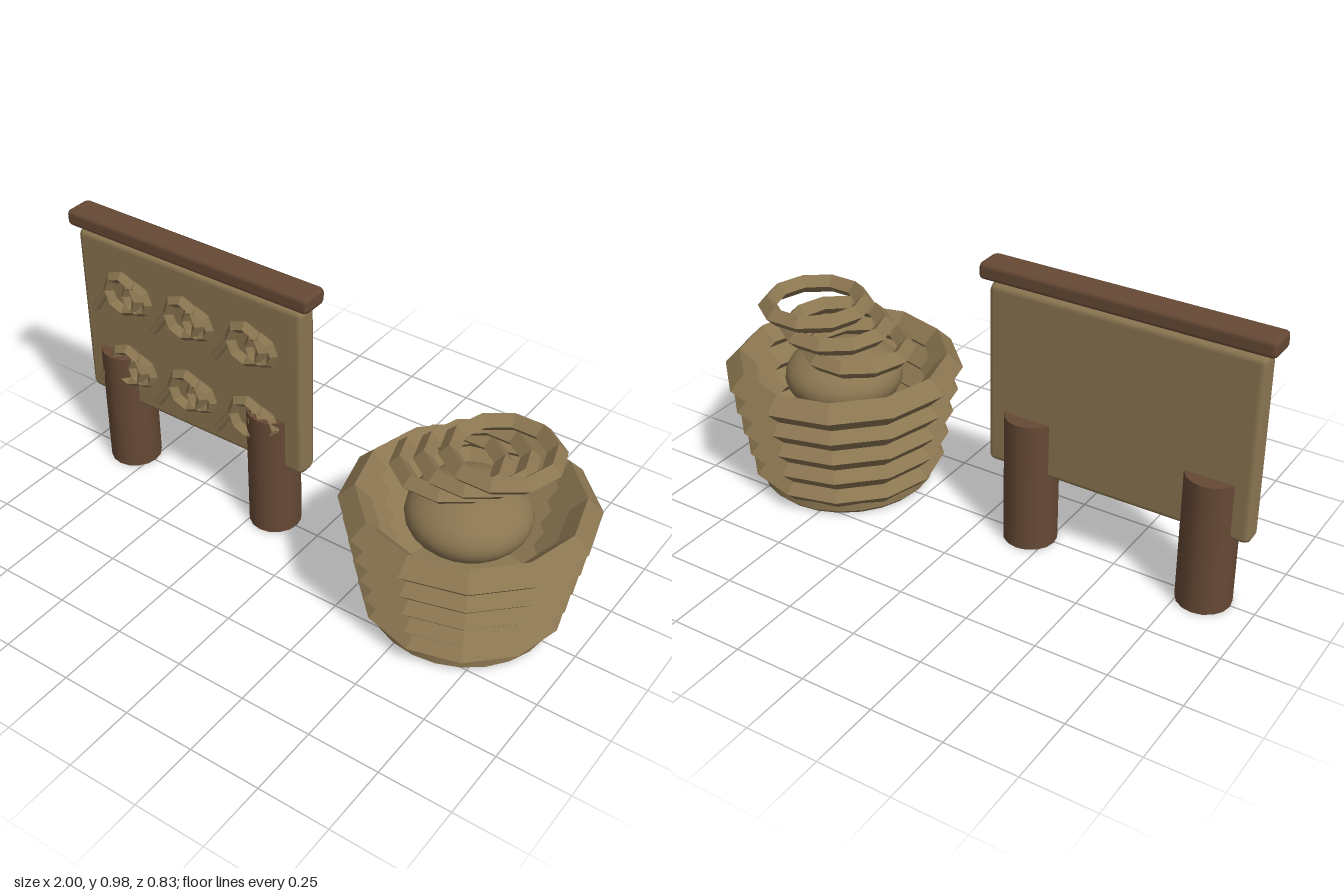
import * as THREE from 'three';
import { RoundedBoxGeometry } from 'three/addons/geometries/RoundedBoxGeometry.js';

export function createModel() {
  const model = new THREE.Group();
  const tan = new THREE.MeshStandardMaterial({ color: 0x8b7651 });
  tan.name = 'straw tan';
  const brown = new THREE.MeshStandardMaterial({ color: 0x664935 });
  brown.name = 'wood brown';

  const add = (parent, name, geometry, material, x, y, z) => {
    const mesh = new THREE.Mesh(geometry, material);
    mesh.name = name;
    mesh.position.set(x, y, z);
    parent.add(mesh);
    return mesh;
  };

  // Faceted ring with a diamond section
  const ring = (radius, tube, sides) => {
    const g = new THREE.TorusGeometry(radius, tube, 4, sides).toNonIndexed();
    g.computeVertexNormals();
    return g;
  };
  const flatRing = (radius, tube, sides) => ring(radius, tube, sides).rotateX(Math.PI / 2);

  // Display board with rail and posts
  const stand = new THREE.Group();
  stand.name = 'displayBoard';
  model.add(stand);
  add(stand, 'panel', new RoundedBoxGeometry(0.935, 0.645, 0.08, 1, 0.022), tan, -0.503, 0.592, 0);
  add(stand, 'topRail', new RoundedBoxGeometry(0.995, 0.058, 0.106, 1, 0.016), brown, -0.503, 0.953, 0);
  for (const x of [-0.826, -0.183]) {
    add(stand, 'post', new THREE.CylinderGeometry(0.092, 0.092, 0.47, 16), brown, x, 0.235, -0.004);
  }

  // Two rows of rope knots: big loop, small loop and loose end
  const bigLoop = ring(0.066, 0.022, 8);
  const smallLoop = ring(0.05, 0.018, 8);
  const looseEnd = new THREE.CylinderGeometry(0.015, 0.015, 0.13, 6);
  for (const y of [0.738, 0.444]) {
    for (let i = 0; i < 3; i++) {
      const knot = new THREE.Group();
      knot.name = 'ropeKnot';
      knot.position.set(-0.764 + i * 0.262, y, 0.059);
      stand.add(knot);
      add(knot, 'bigLoop', bigLoop, tan, 0, 0, 0);
      add(knot, 'smallLoop', smallLoop, tan, 0.06, 0, 0);
      add(knot, 'looseEnd', looseEnd, tan, -0.1, -0.05, 0).rotation.z = -0.6;
    }
  }

  // Coiled basket, widening upwards
  const basket = new THREE.Group();
  basket.name = 'basket';
  basket.position.x = 0.583;
  model.add(basket);
  add(basket, 'base', new THREE.CylinderGeometry(0.305, 0.305, 0.03, 24), tan, 0, 0.03, 0);
  add(basket, 'baseEdge', new THREE.CylinderGeometry(0.305, 0.29, 0.015, 24), tan, 0, 0.0075, 0);
  for (let i = 0; i < 5; i++) {
    add(basket, 'basketCoil', flatRing(0.291 + i * 0.0176, 0.053, 12), tan, 0, 0.073 + i * 0.088, 0);
  }

  // Rounded bundle inside, with loose rope rings stacked on it
  const bundle = add(basket, 'bundle', new THREE.SphereGeometry(1, 24, 16), tan, 0, 0.395, 0);
  bundle.scale.set(0.205, 0.118, 0.205);
  for (let i = 0; i < 3; i++) {
    add(basket, 'ropeRing', flatRing(0.165, 0.033, 10), tan, -0.088 + i * 0.087, 0.53 + i * 0.06, -0.027);
  }
  return model;
}
